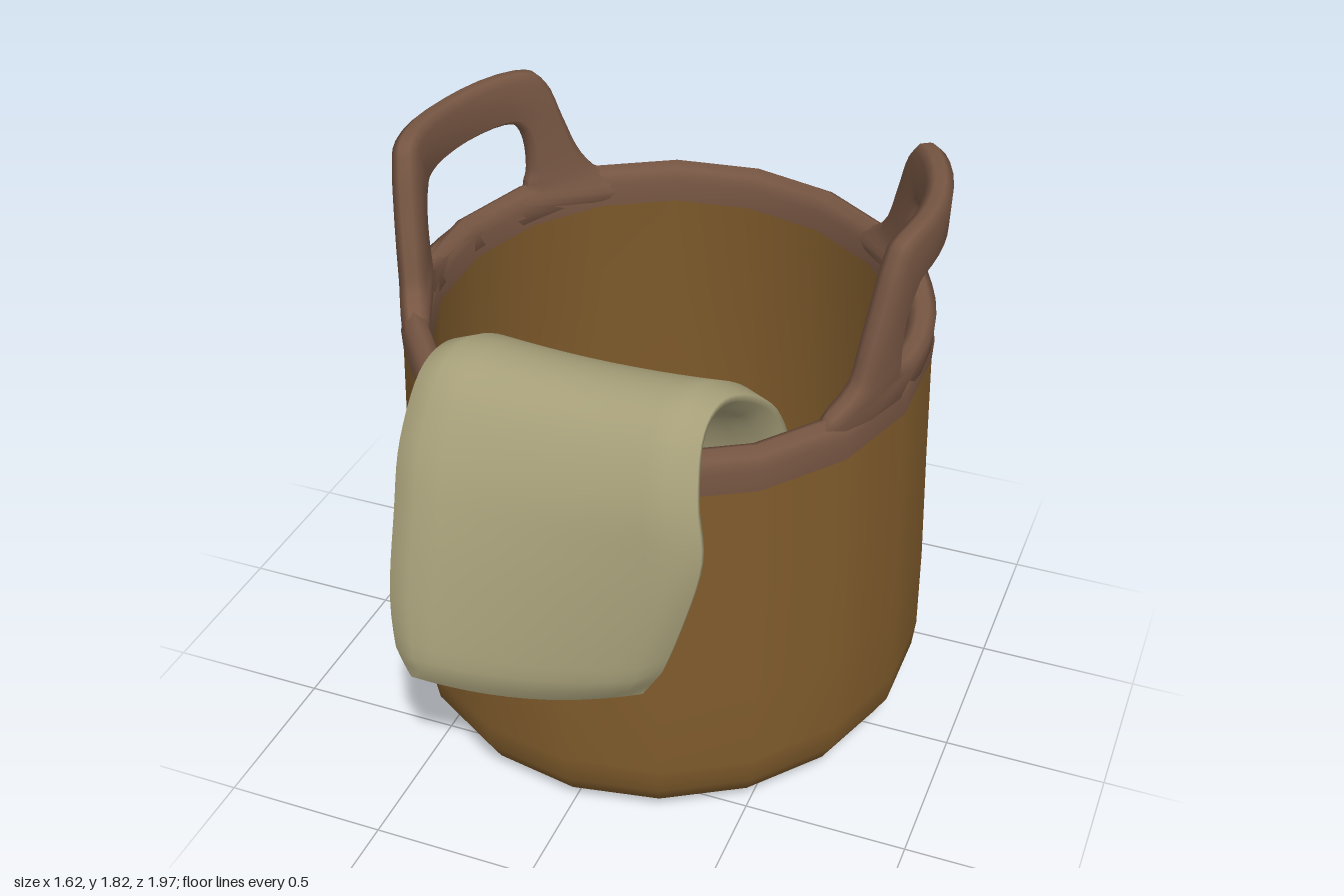
import * as THREE from 'three';

const ZC = -0.135;      // basket axis
const ZS = 1.05;        // basket is slightly deeper than wide
const SIDES = 18;

const mat = (name, color) => {
  const m = new THREE.MeshStandardMaterial({ color });
  m.name = name;
  return m;
};

// Skin closed cross-section rings; loop joins the last ring to the first
function loft(rings, loop) {
  const n = rings[0].length, pos = rings.flat(), idx = [];
  const last = loop ? rings.length : rings.length - 1;
  for (let i = 0; i < last; i++) {
    const a = i * n, b = ((i + 1) % rings.length) * n;
    for (let j = 0; j < n; j++) {
      const k = (j + 1) % n;
      idx.push(a + j, b + j, a + k, b + j, b + k, a + k);
    }
  }
  // Turn the faces outward if the enclosed volume comes out negative
  let volume = 0;
  const cross = new THREE.Vector3();
  for (let i = 0; i < idx.length; i += 3) {
    volume += pos[idx[i]].dot(cross.crossVectors(pos[idx[i + 1]], pos[idx[i + 2]]));
  }
  if (volume < 0) idx.reverse();
  const g = new THREE.BufferGeometry().setFromPoints(pos);
  g.setIndex(idx);
  g.computeVertexNormals();
  return g;
}

// Turned basket surface whose upper edge tilts down to the front and left
function turned(profile) {
  const g = new THREE.LatheGeometry(profile.map(([r, y]) => new THREE.Vector2(r, y)), SIDES);
  g.scale(1, 1, ZS);
  const p = g.attributes.position;
  for (let i = 0; i < p.count; i++) {
    const k = THREE.MathUtils.smoothstep(p.getY(i), 0.2, 1.24);
    p.setY(i, p.getY(i) - k * (0.04 * p.getX(i) + 0.058 * p.getZ(i)));
  }
  g.translate(0, 0, ZC);
  return g;
}

// Handle: a loop around the grip hole, as [z, y] of hole edge and outer edge
const HANDLE = [
  [0.0, 1.375, 0.30, 1.29], [0.04, 1.42, 0.215, 1.39], [0.05, 1.50, 0.18, 1.50],
  [0.04, 1.57, 0.145, 1.62], [0.01, 1.62, 0.105, 1.745], [-0.04, 1.645, 0.04, 1.805],
  [-0.25, 1.645, -0.25, 1.80], [-0.46, 1.64, -0.53, 1.79], [-0.52, 1.61, -0.61, 1.74],
  [-0.545, 1.55, -0.655, 1.61], [-0.55, 1.47, -0.69, 1.50], [-0.54, 1.42, -0.735, 1.41],
  [-0.50, 1.375, -0.81, 1.30], [-0.25, 1.365, -0.25, 1.28],
];
const SECTION = [[0, -0.4], [0.12, -1], [0.88, -1], [1, -0.4], [1, 0.4], [0.88, 1], [0.12, 1], [0, 0.4]];

function handleGeometry(side) {
  const curve = (o) => new THREE.CatmullRomCurve3(
    HANDLE.map((h) => new THREE.Vector3(0, h[o + 1], h[o])), true, 'catmullrom', 0.5);
  const inner = curve(0), outer = curve(2), rings = [];
  for (let i = 0; i < 56; i++) {
    const a = inner.getPoint(i / 56), b = outer.getPoint(i / 56);
    rings.push(SECTION.map(([t, d]) => {
      const q = a.clone().lerp(b, t);
      // Bend around the basket axis, leaning out a little toward the top
      const angle = Math.asin((q.z - ZC) / 0.795);
      const r = 0.755 + d * 0.04 + 0.04 * (q.y - 1.36);
      const x = side * r * Math.cos(angle);
      return new THREE.Vector3(x, q.y - 0.02 * x, ZC + r * ZS * Math.sin(angle));
    }));
  }
  return loft(rings, true);
}

// Cloth stations from the basket floor over the rim: z, y, right edge x, left edge x
const CLOTH = [
  [-0.57, 0.19, -0.35, 0.33], [-0.30, 0.18, -0.30, 0.36], [-0.02, 0.21, -0.32, 0.41],
  [0.12, 0.36, -0.36, 0.46], [0.19, 0.70, -0.37, 0.49], [0.23, 1.10, -0.37, 0.51],
  [0.30, 1.30, -0.37, 0.49], [0.41, 1.41, -0.38, 0.45], [0.54, 1.465, -0.41, 0.41],
  [0.66, 1.43, -0.43, 0.40], [0.76, 1.28, -0.44, 0.42], [0.81, 1.10, -0.43, 0.44],
  [0.85, 0.85, -0.425, 0.38], [0.87, 0.61, -0.39, 0.30],
];

function clothGeometry() {
  const path = new THREE.CatmullRomCurve3(CLOTH.map(([z, y]) => new THREE.Vector3(0, y, z)), false, 'catmullrom', 0.5);
  const edges = new THREE.CatmullRomCurve3(CLOTH.map((c) => new THREE.Vector3(c[2], c[3], 0)), false, 'catmullrom', 0.5);
  const N = 64, M = 12, rings = [];
  for (let i = 0; i <= N; i++) {
    const t = i / N, c = path.getPoint(t), e = edges.getPoint(t), tan = path.getTangent(t);
    const end = Math.min(1, Math.min(i, N - i) / 2);
    const hang = THREE.MathUtils.smoothstep(t, 0.7, 1);
    const point = (s, face) => {
      const w = 2 * s - 1, bow = 1 - w * w;
      const h = face * 0.042 * Math.sqrt(end) * (0.25 + 0.75 * Math.min(1, (1 - Math.abs(w)) * 7));
      return new THREE.Vector3(
        THREE.MathUtils.lerp(e.x, e.y, s) - w * 0.025 * (1 - end),
        c.y + tan.z * h - bow * (0.025 + 0.025 * hang),
        c.z - tan.y * h - w * 0.085 * hang);
    };
    const ring = [];
    for (let j = 0; j <= M; j++) ring.push(point(j / M, 1));
    for (let j = M; j >= 0; j--) ring.push(point(j / M, -1));
    rings.push(ring);
  }
  return loft(rings, false);
}

export function createModel() {
  const group = new THREE.Group();
  const brown = mat('basketBrown', 0x7e5a2b);
  const trim = mat('trimBrown', 0x775643);
  const linen = mat('clothLinen', 0xa69f79);
  const add = (name, geometry, material) => {
    const mesh = new THREE.Mesh(geometry, material);
    mesh.name = name;
    group.add(mesh);
  };

  // Basket shell, lining and rim band
  add('basketBody', turned([[0, 0], [0.6, 0], [0.70, 0.015], [0.77, 0.06], [0.81, 0.13], [0.82, 0.22],
    [0.817, 0.5], [0.803, 0.9], [0.793, 1.24]]), brown);
  add('basketLining', turned([[0.715, 1.24], [0.735, 0.9], [0.75, 0.5], [0.75, 0.22], [0.72, 0.13],
    [0.64, 0.09], [0, 0.08]]), brown);
  add('rimBand', turned([[0.793, 1.24], [0.797, 1.31], [0.786, 1.348], [0.757, 1.365], [0.728, 1.35],
    [0.714, 1.31], [0.715, 1.24]]), trim);

  // Pair of grip handles
  add('leftHandle', handleGeometry(1), trim);
  add('rightHandle', handleGeometry(-1), trim);

  // Cloth draped over the front rim
  add('drapedCloth', clothGeometry(), linen);
  return group;
}
